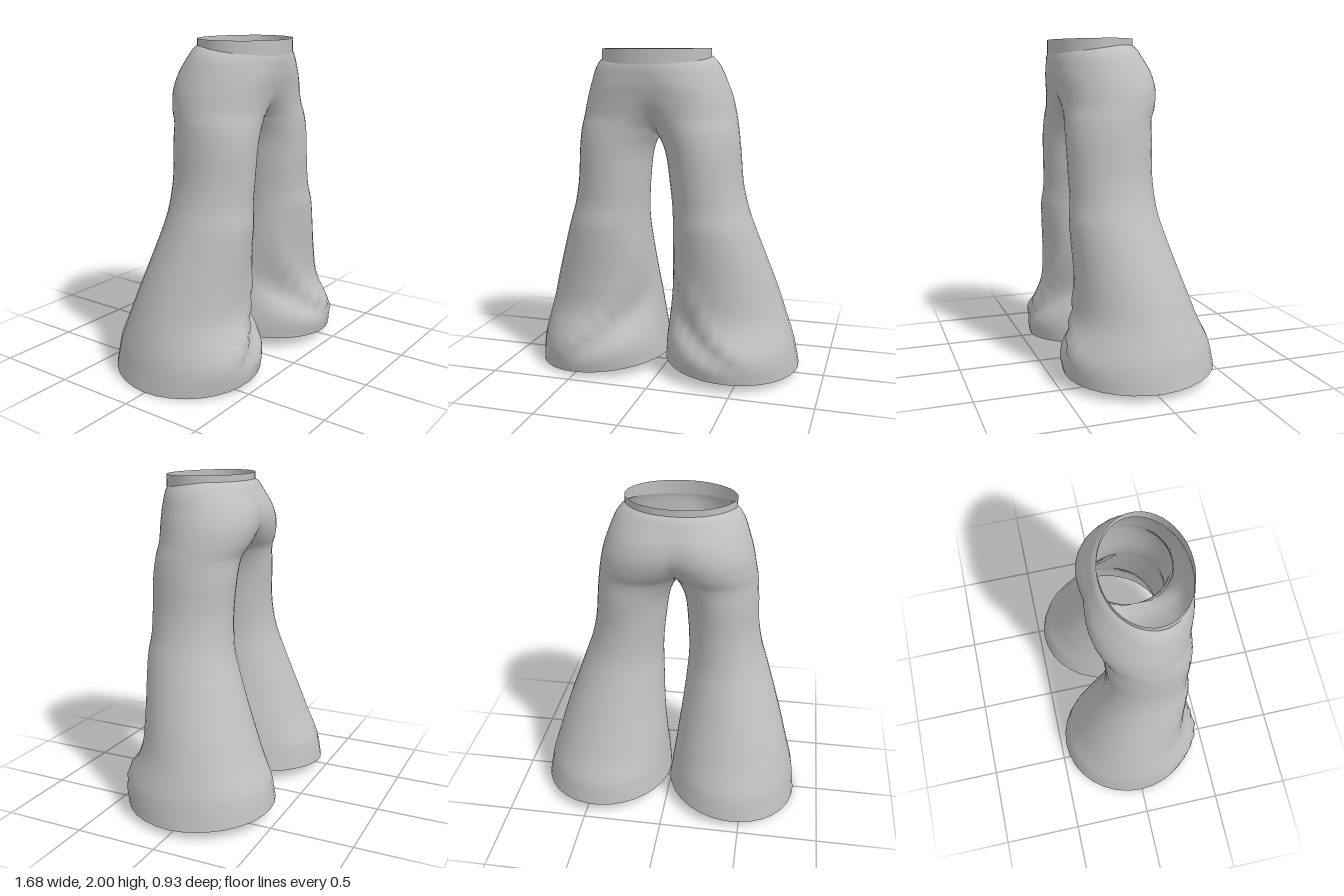
import * as THREE from 'three';
import { mergeVertices } from 'three/addons/utils/BufferGeometryUtils.js';

const CROTCH = 1.52, TOP = 1.96, OUTER = 28, INNER = 8;
const { clamp, smoothstep, lerp } = THREE.MathUtils;

// Cross-sections of one leg: height, centre x, radius x, front z, back z
const ROWS = [
  [0, .42, .42, .45, -.465], [.1, .418, .408, .465, -.45],
  [.2, .414, .396, .45, -.43], [.4, .397, .36, .372, -.355],
  [.6, .378, .32, .362, -.28], [.8, .353, .278, .372, -.21],
  [.95, .332, .248, .378, -.163], [1.05, .315, .232, .367, -.145],
  [1.2, .294, .222, .37, -.135], [1.4, .272, .228, .375, -.143],
  [1.52, .235, .253, .372, -.15], [1.6, .19, .283, .367, -.185],
  [1.7, .14, .312, .378, -.207], [1.8, .09, .33, .392, -.195],
  [1.9, .03, .352, .4, -.15], [1.945, .005, .345, .402, -.128],
  [1.96, 0, .333, .398, -.11],
];

// Smooth interpolation of the cross-section table
function section(y) {
  let i = 0;
  while (i < ROWS.length - 2 && y > ROWS[i + 1][0]) i++;
  const a = ROWS[i], b = ROWS[i + 1], h = b[0] - a[0], t = (y - a[0]) / h;
  const slope = (k, c) => {
    const p = ROWS[Math.max(k - 1, 0)], q = ROWS[Math.min(k + 1, ROWS.length - 1)];
    return (q[c] - p[c]) / (q[0] - p[0]);
  };
  return [1, 2, 3, 4].map(c =>
    a[c] * (1 + 2 * t) * (1 - t) ** 2 + b[c] * t * t * (3 - 2 * t) +
    h * (slope(i, c) * t * (1 - t) ** 2 - slope(i + 1, c) * t * t * (1 - t)));
}

// Diagonal cloth fold sweeping from the inner knee to the outer hem
function fold(x, y) {
  const ridge = .1 + .45 * (clamp(.9 - y, 0, 1) / .75) ** 2.2;
  const d = x - ridge;
  const fade = smoothstep(y, .04, .22) * (1 - smoothstep(y, .75, .98));
  return fade * (.025 * Math.exp(-((d / .06) ** 2)) - .045 * Math.exp(-(((d + .13) / .09) ** 2)));
}

// The waist seam dips towards the front
const dip = z => -.05 * clamp((z - .05) / .35, 0, 1);
const lean = y => -.018 * y;

// Point on one half of the garment; angle runs front (+) to back (-)
function surfacePoint(side, y, angle) {
  const [cx, rx, zf, zb] = section(y);
  const zc = (zf + zb) / 2, rz = (zf - zb) / 2, s = Math.sin(angle);
  const x = Math.max(0, cx + rx * Math.cos(angle));
  let z = zc + rz * s;
  if (y >= CROTCH && x < cx) {
    // Belly is flat across the middle, seat keeps a soft cleft
    const flat = smoothstep(y, CROTCH, 1.78) * (s > 0 ? 1 : .5);
    z = lerp(z, s > 0 ? zf : zb, flat);
  }
  if (s > 0) z += fold(x, y) * Math.min(1, s * 1.6);
  const inward = 1 - x / .84;
  const hem = (side > 0 ? .04 + .04 * inward : .07 * inward) + .02 * clamp(-z / .46, 0, 1);
  const py = y + hem * (1 - smoothstep(y, 0, .4)) + dip(z) * smoothstep(y, 1.7, 1.93);
  return [side * x + lean(y), py, z];
}

// Loft rows of points into triangles; mirrored halves flip the winding
function loft(rows, side, out) {
  for (let i = 0; i < rows.length - 1; i++) {
    for (let j = 0; j < rows[i].length - 1; j++) {
      const a = rows[i][j], b = rows[i][j + 1], c = rows[i + 1][j + 1], d = rows[i + 1][j];
      const tris = side > 0 ? [a, b, c, a, c, d] : [a, c, b, a, d, c];
      for (const p of tris) out.push(...p);
    }
  }
}

function smoothGeometry(positions) {
  const g = new THREE.BufferGeometry();
  g.setAttribute('position', new THREE.Float32BufferAttribute(positions, 3));
  const merged = mergeVertices(g, 1e-4);
  merged.computeVertexNormals();
  return merged;
}

// Angle where the outer panel meets the centre line or inner leg panel
function seamAngle(y) {
  const [cx, rx] = section(Math.max(y, CROTCH));
  return Math.acos(clamp(-cx / rx, -1, 1));
}

function trousersGeometry() {
  const out = [];
  const legY = Array.from({ length: 41 }, (_, i) => CROTCH * i / 40);
  const hipY = Array.from({ length: 21 }, (_, i) => lerp(CROTCH, 1.945, i / 20));
  const allY = [...legY, ...hipY.slice(1), TOP];
  const span = (n, from, to) => Array.from({ length: n + 1 }, (_, j) => lerp(from, to, j / n));
  for (const side of [1, -1]) {
    const outer = allY.map(y => {
      const m = seamAngle(y);
      return span(OUTER, m, -m).map(t => surfacePoint(side, y, t));
    });
    const inner = legY.map(y => {
      const m = seamAngle(y);
      return span(INNER, -m, m - 2 * Math.PI).map(t => surfacePoint(side, y, t));
    });
    loft(outer, side, out);
    loft(inner, side, out);
  }
  return smoothGeometry(out);
}

// Thin open band standing on the waist seam
function waistbandGeometry() {
  const out = [], n = 48;
  const rows = [0, .5, 1].map(t => Array.from({ length: n + 1 }, (_, j) => {
    const a = Math.PI / 2 - 2 * Math.PI * (j % n) / n;
    const z = .145 + .254 * Math.sin(a);
    const y = lerp(1.955 + dip(z), 2 + dip(z) * .1, t);
    return [.333 * Math.cos(a) + lean(2), y, z];
  }));
  loft(rows, 1, out);
  return smoothGeometry(out);
}

export function createModel() {
  const group = new THREE.Group();
  group.name = 'flaredTrousers';
  const cloth = new THREE.MeshStandardMaterial({ color: 0xc0c0c0, side: THREE.DoubleSide });
  cloth.name = 'grey cloth';
  const parts = { trouserLegs: trousersGeometry(), waistband: waistbandGeometry() };
  for (const [name, geometry] of Object.entries(parts)) {
    const mesh = new THREE.Mesh(geometry, cloth);
    mesh.name = name;
    group.add(mesh);
  }
  return group;
}
